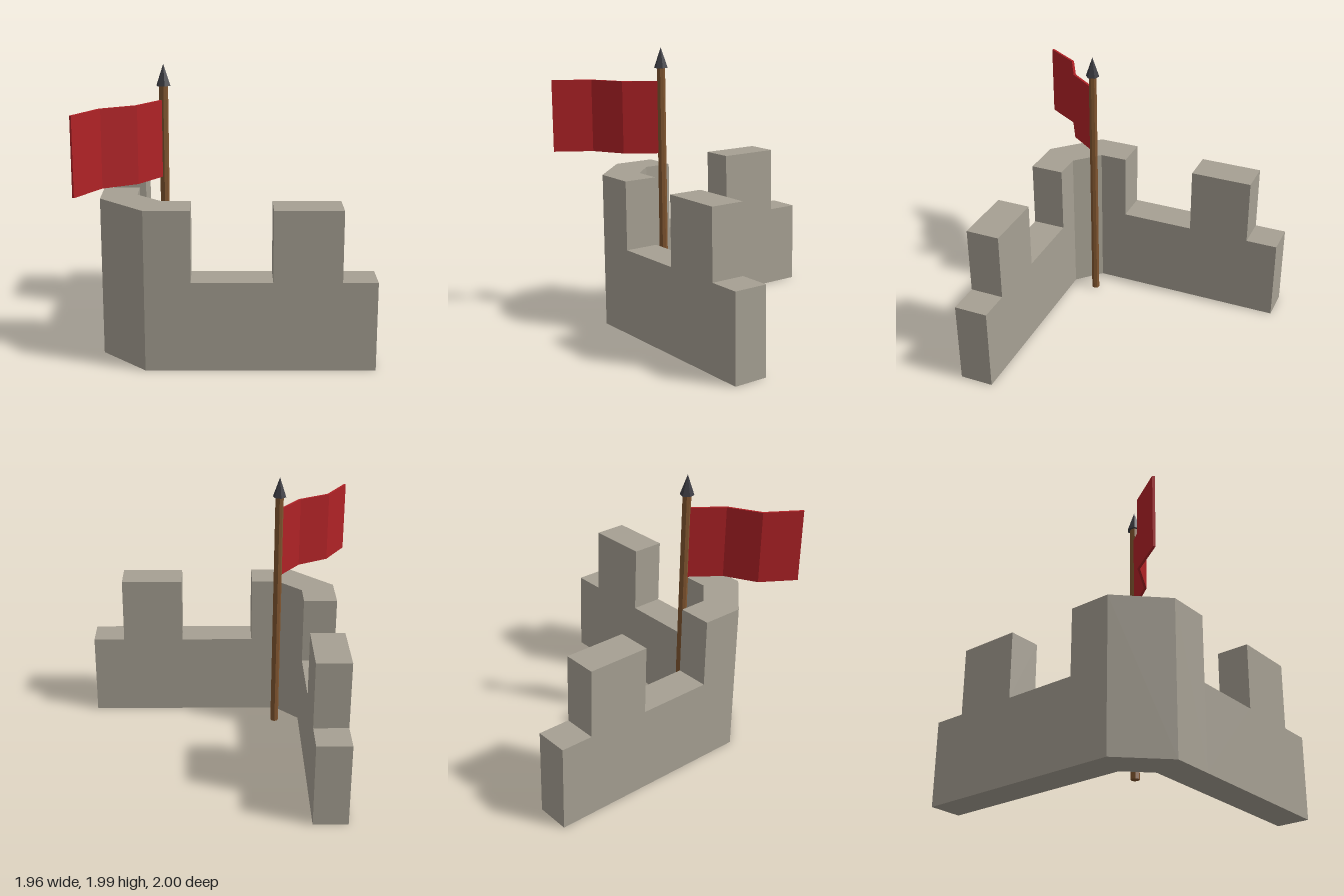
import * as THREE from 'three';

const STONE = 0xa6a093, WOOD = 0x80552f, IRON = 0x3d3d43, CLOTH = 0xb02226;

function part(name, geometry, color) {
  const mesh = new THREE.Mesh(geometry, new THREE.MeshStandardMaterial({ color, flatShading: true }));
  mesh.name = name;
  return mesh;
}

const outline = (points) => new THREE.Shape(points.map(([x, y]) => new THREE.Vector2(x, y)));
const extrude = (points, depth) =>
  new THREE.ExtrudeGeometry(outline(points), { depth, bevelEnabled: false });

// Upright prism over a plan given as [x, z] points
const prism = (plan, bottom, top) =>
  extrude(plan, top - bottom).rotateX(Math.PI / 2).translate(0, top, 0);

export function createModel() {
  const model = new THREE.Group();
  model.name = 'cornerBattlement';

  const low = 0.615, high = 1.103, thick = 0.243;

  // Chamfered corner section
  model.add(part('cornerWall', prism([
    [-0.861, 0.228], [-0.861, 0.53], [-0.555, 0.837], [-0.25, 0.837],
    [-0.25, 0.594], [-0.45, 0.594], [-0.618, 0.428], [-0.618, 0.228],
  ], 0, high), STONE));

  // Two matching crenellated arms leaving the corner
  const profile = [
    [0, 0], [1.228, 0], [1.228, low], [0.995, low],
    [0.995, high], [0.54, high], [0.54, low], [0, low],
  ];
  const frontWall = part('frontWall', extrude(profile, thick), STONE);
  frontWall.position.set(-0.25, 0, 0.594);
  const sideWall = part('sideWall', extrude(profile, thick), STONE);
  sideWall.rotation.y = Math.PI / 2;
  sideWall.position.set(-0.861, 0, 0.228);
  model.add(frontWall, sideWall);

  // Flagpole with pointed tip
  const pole = part('flagPole', new THREE.CylinderGeometry(0.03, 0.03, 1.85, 8), WOOD);
  pole.position.set(-0.432, 0.925, 0.409);
  const tip = part('poleTip', new THREE.ConeGeometry(0.05, 0.145, 6), IRON);
  tip.position.set(-0.432, 1.917, 0.409);
  tip.rotation.y = 0.2;
  model.add(pole, tip);

  // Folded banner: a thin ribbon following a zigzag path
  const path = [[-0.44, 0.415], [-0.597, 0.63], [-0.82, 0.75], [-0.971, 0.99]];
  const side = (s) => path.map(([x, z]) => [x + s * 0.006, z + s * 0.006]);
  const ribbon = [...side(-1), ...side(1).reverse()];
  model.add(part('flag', prism(ribbon, 1.23, 1.75), CLOTH));

  return model;
}
